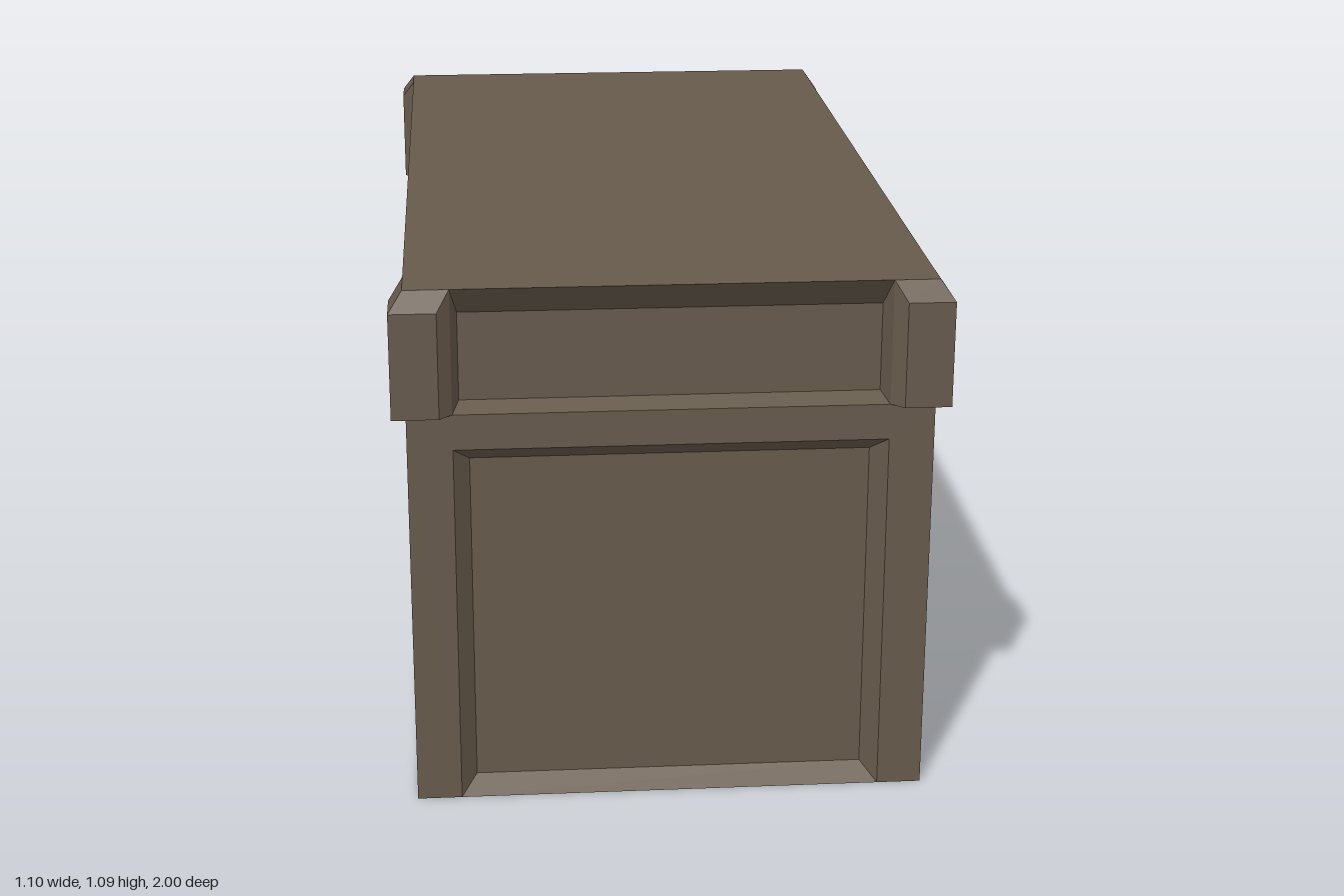
import * as THREE from 'three';

const material = new THREE.MeshStandardMaterial({ color: 0x675a4c, flatShading: true });

function addMesh(parent, geometry, name) {
  const mesh = new THREE.Mesh(geometry, material);
  mesh.name = name;
  parent.add(mesh);
  return mesh;
}

// Joins equal-sized loops of points, counter-clockwise about the direction of travel
function loft(loops, { capStart = false, capEnd = false } = {}) {
  const out = [];
  const tri = (a, b, c) => out.push(...a, ...b, ...c);
  const n = loops[0].length;
  for (let i = 0; i < loops.length - 1; i++) {
    for (let j = 0; j < n; j++) {
      const k = (j + 1) % n;
      tri(loops[i][j], loops[i][k], loops[i + 1][k]);
      tri(loops[i][j], loops[i + 1][k], loops[i + 1][j]);
    }
  }
  const first = loops[0], last = loops[loops.length - 1];
  for (let j = 1; j < n - 1; j++) {
    if (capStart) tri(first[0], first[j + 1], first[j]);
    if (capEnd) tri(last[0], last[j], last[j + 1]);
  }
  const geometry = new THREE.BufferGeometry();
  geometry.setAttribute('position', new THREE.Float32BufferAttribute(out, 3));
  geometry.computeVertexNormals();
  return geometry;
}

const W = 0.52, L = 0.975, BODY_TOP = 0.835, TOP = 1.09;

// Upright rectangle facing +z
const upright = (x, y0, y1, z) => [[-x, y0, z], [x, y0, z], [x, y1, z], [-x, y1, z]];
// Level rectangle facing up
const level = (x, z, y) => [[-x, y, z], [x, y, z], [x, y, -z], [-x, y, -z]];

export function createModel() {
  const model = new THREE.Group();
  model.name = 'chest';

  // Solid body behind the panels
  const core = new THREE.BoxGeometry(2 * W - 0.02, BODY_TOP, 1.85);
  core.translate(-0.01, BODY_TOP / 2, 0);
  addMesh(model, core, 'bodyCore');

  // Front and back ends, each with a sloped recess
  const end = loft([
    upright(W, 0, BODY_TOP, 0.92),
    upright(W, 0, BODY_TOP, L),
    upright(0.43, 0, 0.762, L),
    upright(0.398, 0.033, 0.73, L - 0.04),
  ], { capEnd: true });
  addMesh(model, end, 'frontPanel');
  addMesh(model, end, 'backPanel').rotation.y = Math.PI;

  // Three-panel frame on the left side; the opposite side stays plain
  const frame = new THREE.Shape();
  frame.moveTo(-0.92, 0).lineTo(0.92, 0).lineTo(0.92, BODY_TOP).lineTo(-0.92, BODY_TOP).closePath();
  for (const [a, b, top] of [[-0.87, -0.345, 0.73], [-0.3, 0.3, 0.735], [0.34, 0.865, 0.73]]) {
    const hole = new THREE.Path();
    hole.moveTo(a, 0.03).lineTo(a, top).lineTo(b, top).lineTo(b, 0.03).closePath();
    frame.holes.push(hole);
  }
  const sideFrame = new THREE.ExtrudeGeometry(frame, { depth: 0.02, bevelEnabled: false });
  sideFrame.rotateY(Math.PI / 2).translate(W - 0.02, 0, 0);
  addMesh(model, sideFrame, 'sidePanelFrame');

  // Lid with a recessed band all round
  addMesh(model, loft([
    level(W, L, BODY_TOP),
    level(W - 0.045, L - 0.045, 0.85),
    level(W - 0.045, L - 0.045, 1.03),
    level(W, L, TOP),
  ], { capEnd: true }), 'lid');

  // Corner blocks: wide plan below, pulled in to the lid edge at the top
  const wide = [[0.548, 1], [0.455, 1], [0.43, 0.975], [0.415, 0.925],
    [0.47, 0.87], [0.523, 0.885], [0.548, 0.91]];
  const narrow = [[W, L], [0.43, L], [0.43, L], [0.415, 0.925],
    [0.47, 0.87], [W, 0.885], [W, 0.885]];
  for (const sx of [-1, 1]) {
    for (const sz of [-1, 1]) {
      const loop = (plan, y) => {
        const points = plan.map(([x, z]) => [sx * x, y, sz * z]);
        return sx * sz > 0 ? points.reverse() : points;
      };
      const block = loft([loop(wide, BODY_TOP), loop(wide, 1.05), loop(narrow, TOP)], { capStart: true });
      addMesh(model, block, `${sz > 0 ? 'front' : 'back'}${sx > 0 ? 'Left' : 'Right'}CornerBlock`);
    }
  }
  return model;
}
